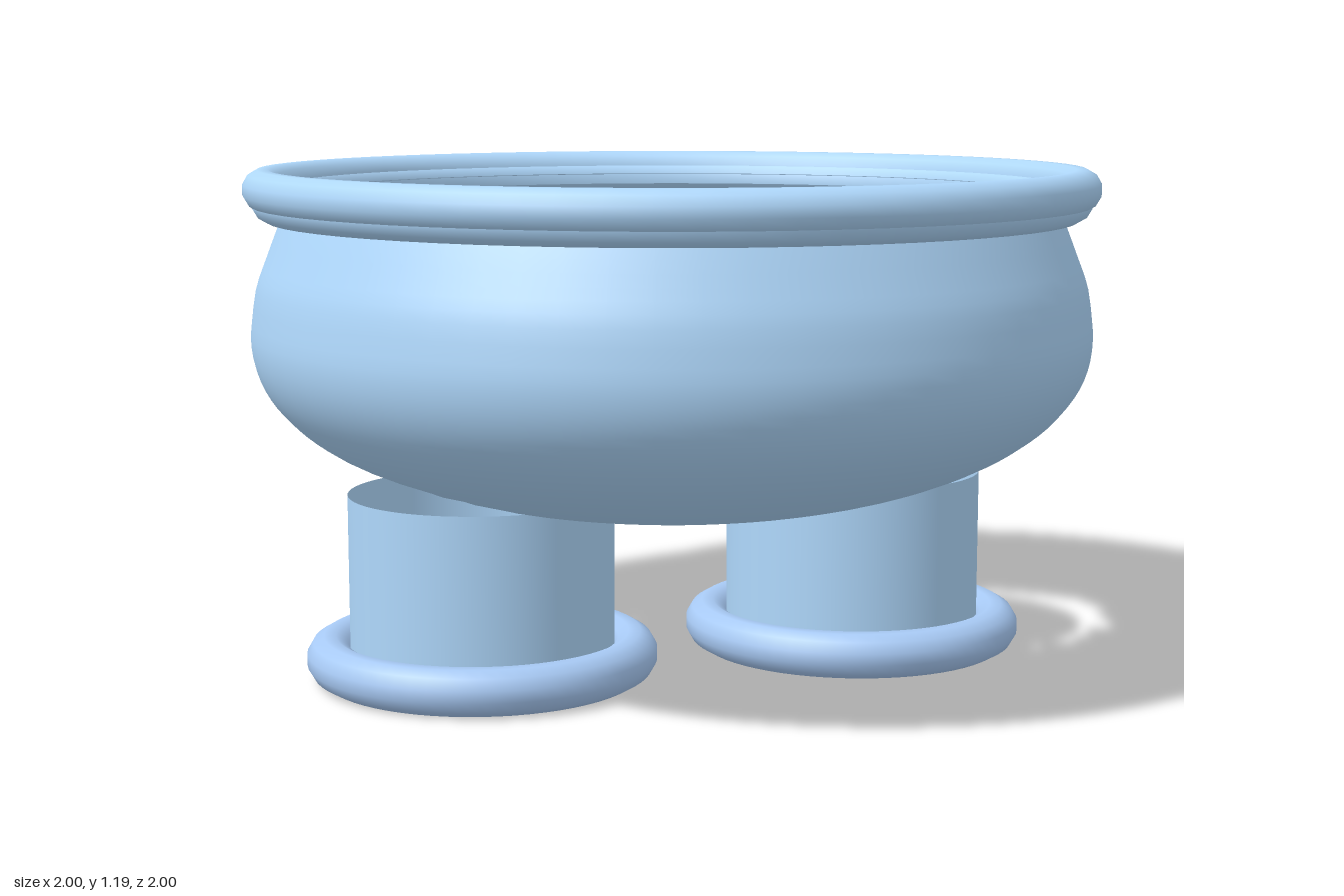
import * as THREE from 'three';

const LEG_X = 0.475, LEG_R = 0.31;

const paint = (color) => new THREE.MeshStandardMaterial({ color, side: THREE.DoubleSide });

// Drop the triangles centred over either leg opening, leaving a toothed edge
function cutLegHoles(geometry, radius) {
  const pos = geometry.attributes.position;
  const index = geometry.index.array;
  const centre = new THREE.Vector3(), corner = new THREE.Vector3();
  const kept = [];
  for (let i = 0; i < index.length; i += 3) {
    const tri = [index[i], index[i + 1], index[i + 2]];
    centre.set(0, 0, 0);
    tri.forEach((v) => centre.addScaledVector(corner.fromBufferAttribute(pos, v), 1 / 3));
    const inside = centre.y < 0.7 && Math.hypot(Math.abs(centre.x) - LEG_X, centre.z) < radius;
    if (!inside) kept.push(...tri);
  }
  geometry.setIndex(kept);
  return geometry;
}

export function createModel() {
  const model = new THREE.Group();
  const bodyMat = paint(0xafd8fc);
  const cuffMat = paint(0xa8caf5);

  const add = (name, geometry, material, y, parent = model) => {
    const mesh = new THREE.Mesh(geometry, material);
    mesh.name = name;
    mesh.position.y = y;
    parent.add(mesh);
    return mesh;
  };

  // Ring with a ten-sided section, flat on top and bottom
  const ring = (name, radius, half, y, material, parent) => {
    const section = [];
    for (let i = 0; i <= 12; i++) {
      const a = (i + 0.5) * Math.PI / 6 + Math.PI;
      const r = half / Math.cos(Math.PI / 12);
      section.push(new THREE.Vector2(radius + r * Math.cos(a), r * Math.sin(a)));
    }
    return add(name, new THREE.LatheGeometry(section, 64), material, y, parent);
  };

  // Rounded body: full, slightly squared underside, then a gentle taper up to the waist
  const profile = [];
  const power = 2 / 2.2;
  for (let i = 0; i <= 32; i++) {
    const a = (i / 32) * Math.PI / 2;
    profile.push(new THREE.Vector2(
      0.988 * Math.sin(a) ** power,
      0.805 - 0.425 * Math.max(0, Math.cos(a)) ** power));
  }
  const taper = new THREE.SplineCurve([
    [0.988, 0.805], [0.974, 0.91], [0.946, 0.99], [0.915, 1.07], [0.89, 1.13],
  ].map(([x, y]) => new THREE.Vector2(x, y)));
  profile.push(...taper.getPoints(12).slice(1));
  const body = new THREE.LatheGeometry(profile, 64);
  add('body', cutLegHoles(body, LEG_R + 0.018), bodyMat, 0);

  // Waistband: a thick ring over a slightly narrower one
  ring('waistband', 0.953, 0.046, 1.142, bodyMat, model);
  ring('waistbandLower', 0.935, 0.045, 1.115, bodyMat, model);

  // Open legs with rolled cuffs
  for (const [side, sign] of [['left', 1], ['right', -1]]) {
    const leg = new THREE.Group();
    leg.name = side + 'Leg';
    leg.position.x = sign * LEG_X;
    model.add(leg);
    add(side + 'LegTube', new THREE.CylinderGeometry(LEG_R, LEG_R, 0.385, 64, 1, true), bodyMat, 0.2475, leg);
    ring(side + 'Cuff', 0.357, 0.053, 0.055, cuffMat, leg);
  }
  return model;
}
